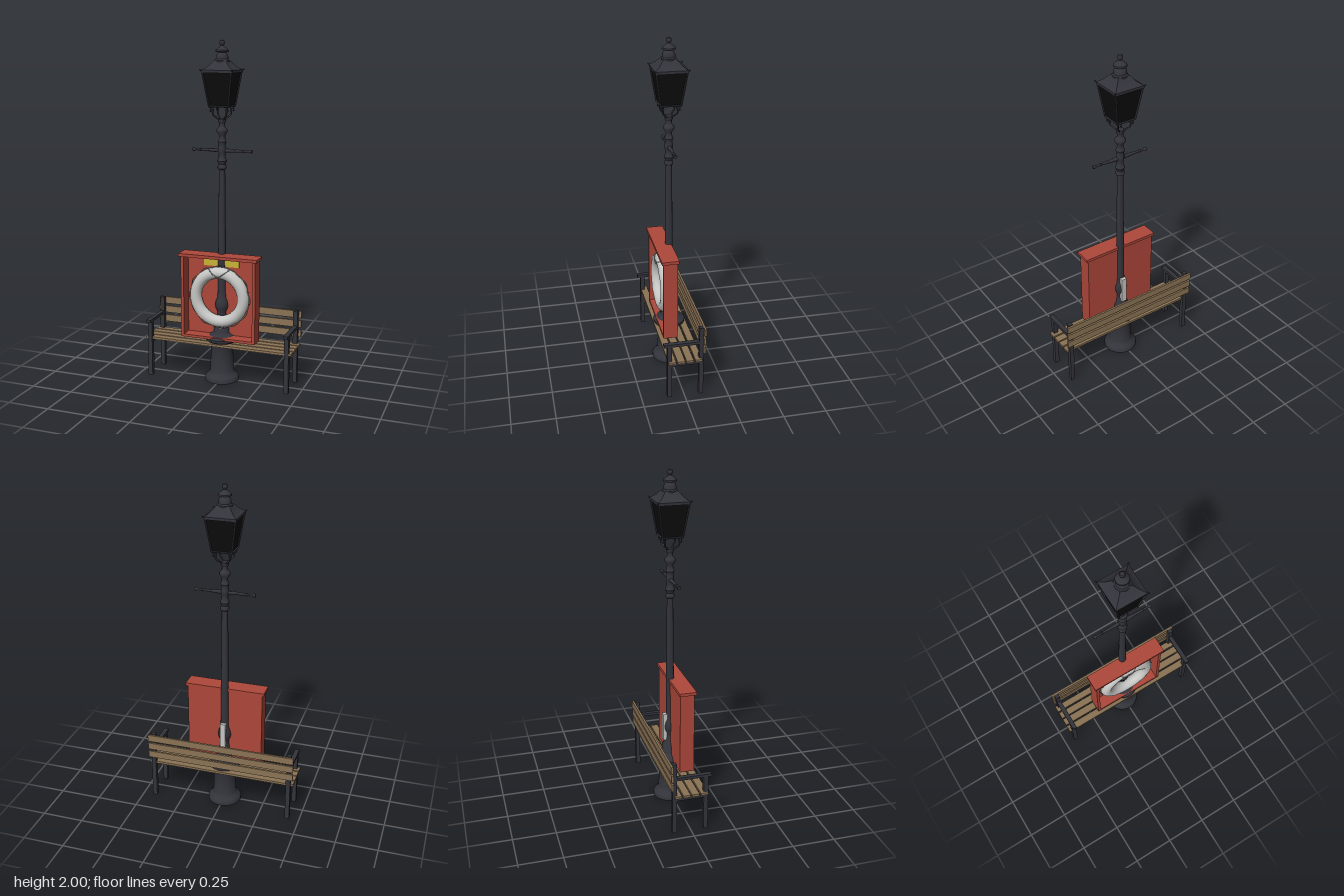
import * as THREE from 'three';
import { toCreasedNormals } from 'three/addons/utils/BufferGeometryUtils.js';

const material = (name, color) => {
  const m = new THREE.MeshStandardMaterial({ color });
  m.name = name;
  return m;
};

export function createModel() {
  const iron = material('charcoal iron', 0x33333b);
  const glass = material('dark glass', 0x0c0c0d);
  const red = material('red paint', 0xad473a);
  const wood = material('bench wood', 0x8b7355);
  const white = material('ring white', 0xc6c6c4);
  const rope = material('rope grey', 0x9c9c9a);
  const yellow = material('sign yellow', 0xc9b336);

  const model = new THREE.Group();
  model.name = 'lampPostWithBench';
  const group = (name) => {
    const g = new THREE.Group();
    g.name = name;
    model.add(g);
    return g;
  };
  const add = (parent, name, geometry, mat, x = 0, y = 0, z = 0) => {
    const mesh = new THREE.Mesh(geometry, mat);
    mesh.name = name;
    mesh.position.set(x, y, z);
    parent.add(mesh);
    return mesh;
  };
  // Box given by its limits on each axis
  const box = (parent, name, mat, [x0, x1], [y0, y1], [z0, z1]) =>
    add(parent, name, new THREE.BoxGeometry(x1 - x0, y1 - y0, z1 - z0), mat,
      (x0 + x1) / 2, (y0 + y1) / 2, (z0 + z1) / 2);
  // Turned part from [radius, height] pairs
  const turned = (pairs, sides = 24) => toCreasedNormals(
    new THREE.LatheGeometry(pairs.map(([r, y]) => new THREE.Vector2(r, y)), sides), 0.7);
  // Square part from [half width, height] pairs
  const square = (pairs) => toCreasedNormals(
    new THREE.LatheGeometry(pairs.map(([w, y]) => new THREE.Vector2(w * Math.SQRT2, y)), 4, Math.PI / 4), 0.4);
  // Round bar between two points
  const bar = (parent, name, mat, a, b, r) => {
    const dir = b.clone().sub(a);
    const mesh = add(parent, name, new THREE.CylinderGeometry(r, r, dir.length(), 8), mat);
    mesh.position.copy(a).add(b).multiplyScalar(0.5);
    mesh.quaternion.setFromUnitVectors(new THREE.Vector3(0, 1, 0), dir.normalize());
  };

  // Post
  const post = group('post');
  add(post, 'pedestal', turned([[0, 0], [0.101, 0], [0.101, 0.02], [0.094, 0.03], [0.078, 0.045],
    [0.071, 0.06], [0.065, 0.2], [0.07, 0.215], [0.07, 0.23], [0.094, 0.25], [0.096, 0.265],
    [0.08, 0.278], [0.055, 0.29], [0.048, 0.3], [0.046, 0.345], [0.034, 0.36], [0.028, 0.4]], 32), iron);
  add(post, 'shaft', turned([[0.028, 0.4], [0.029, 0.425], [0.038, 0.445], [0.041, 0.465], [0.036, 0.49],
    [0.027, 0.51], [0.025, 0.55], [0.018, 1.27], [0.025, 1.275], [0.025, 1.29], [0.02, 1.3],
    [0.028, 1.32], [0.02, 1.34], [0.019, 1.36], [0.023, 1.37], [0.023, 1.395], [0.019, 1.41],
    [0.026, 1.43], [0.019, 1.445], [0.018, 1.465], [0.032, 1.488], [0.031, 1.5], [0.018, 1.515],
    [0.017, 1.535], [0.023, 1.543], [0.023, 1.56], [0, 1.56]]), iron);

  // Ladder bar with knobbed ends
  const ladder = add(post, 'ladderBar', turned([[0, -0.182], [0.009, -0.18], [0.011, -0.171], [0.006, -0.16],
    [0.006, -0.135], [0.01, -0.13], [0.006, -0.123], [0.011, -0.04], [0.012, 0], [0.011, 0.04],
    [0.006, 0.123], [0.01, 0.13], [0.006, 0.135], [0.006, 0.16], [0.011, 0.171], [0.009, 0.18],
    [0, 0.182]], 12), iron, 0, 1.38, 0);
  ladder.rotation.z = Math.PI / 2;

  // Lantern
  const lantern = group('lantern');
  add(lantern, 'panes', square([[0, 1.632], [0.056, 1.632], [0.084, 1.825]]), glass);
  add(lantern, 'roof', square([[0.084, 1.818], [0.091, 1.818], [0.092, 1.834], [0.078, 1.842],
    [0.06, 1.856], [0.046, 1.874], [0.036, 1.885], [0, 1.885]]), iron);
  add(lantern, 'finial', turned([[0.036, 1.872], [0.043, 1.876], [0.043, 1.886], [0.036, 1.893],
    [0.035, 1.91], [0.027, 1.926], [0.022, 1.93], [0.038, 1.934], [0.037, 1.943], [0.024, 1.955],
    [0.012, 1.962], [0.007, 1.967], [0.014, 1.975], [0.016, 1.984], [0.012, 1.995], [0, 2]]), iron);
  const low = 0.058, high = 0.087;
  for (let i = 0; i < 4; i++) {
    const side = new THREE.Group();
    side.name = 'lanternCorner';
    side.rotation.y = i * Math.PI / 2;
    lantern.add(side);
    bar(side, 'cornerBar', iron, new THREE.Vector3(low, 1.63, low), new THREE.Vector3(high, 1.825, high), 0.005);
    bar(side, 'bottomRail', iron, new THREE.Vector3(-low, 1.632, low), new THREE.Vector3(low, 1.632, low), 0.005);
    bar(side, 'cornerEar', iron, new THREE.Vector3(0.086, 1.826, 0.086), new THREE.Vector3(0.097, 1.838, 0.097), 0.004);
    // Scrolled support arm, drawn in its own plane and turned to the corner
    const path = new THREE.CatmullRomCurve3([[0.015, 1.553], [0.035, 1.568], [0.056, 1.585], [0.058, 1.6],
      [0.054, 1.613], [0.06, 1.622], [0.07, 1.617], [0.072, 1.606], [0.064, 1.602]]
      .map(([r, y]) => new THREE.Vector3(r * Math.SQRT1_2, y, r * Math.SQRT1_2)));
    add(side, 'scrollArm', new THREE.TubeGeometry(path, 28, 0.005, 6), iron);
    bar(side, 'armTip', iron, new THREE.Vector3(0.042, 1.617, 0.042), new THREE.Vector3(low, 1.632, low), 0.004);
  }

  // Open-fronted cabinet
  const cabinet = group('cabinet');
  box(cabinet, 'backPanel', red, [-0.23, 0.23], [0.265, 0.76], [-0.005, 0.006]);
  box(cabinet, 'floor', red, [-0.23, 0.23], [0.265, 0.28], [-0.005, 0.08]);
  box(cabinet, 'lid', red, [-0.242, 0.242], [0.756, 0.774], [-0.012, 0.09]);
  for (const s of [-1, 1]) {
    add(cabinet, 'sideWall', new THREE.BoxGeometry(0.018, 0.495, 0.085), red, s * 0.221, 0.5125, 0.0375);
  }
  box(cabinet, 'signPlate', yellow, [-0.11, 0.11], [0.697, 0.745], [0.004, 0.011]);
  box(cabinet, 'rearBracket', white, [-0.016, 0.016], [0.375, 0.545], [-0.045, -0.005]);

  // Life ring with grab rope
  const ring = group('lifeRing');
  ring.position.set(0, 0.52, 0.045);
  add(ring, 'ringBody', new THREE.TorusGeometry(0.147, 0.035, 16, 56), white);
  for (let i = 0; i < 4; i++) {
    const band = add(ring, 'ringBand', new THREE.TorusGeometry(0.147, 0.0365, 16, 6, 0.2), white);
    band.rotation.z = Math.PI / 4 + i * Math.PI / 2 - 0.1;
  }
  const loop = [];
  for (let i = 0; i < 48; i++) {
    const a = i * Math.PI / 24;
    const r = 0.186 + 0.004 * Math.cos(a * 12);
    loop.push(new THREE.Vector3(r * Math.cos(a), r * Math.sin(a), 0.006 * Math.sin(a * 8)));
  }
  add(ring, 'grabRope', new THREE.TubeGeometry(new THREE.CatmullRomCurve3(loop, true), 96, 0.003, 5, true), rope);
  const hanger = new THREE.CatmullRomCurve3([[-0.065, 0.172, 0.012], [-0.035, 0.15, 0.036], [0, 0.128, 0.034],
    [0.035, 0.15, 0.036], [0.065, 0.172, 0.012]].map((p) => new THREE.Vector3(...p)));
  add(ring, 'hangerRope', new THREE.TubeGeometry(hanger, 24, 0.003, 5), rope);

  // Bench
  const bench = group('bench');
  for (const [z0, z1] of [[-0.1, -0.06], [-0.05, -0.008], [0, 0.044], [0.053, 0.096]]) {
    box(bench, 'seatSlat', wood, [-0.455, 0.455], [0.229, 0.243], [z0, z1]);
  }
  [[0.28, 0.322, -0.113], [0.337, 0.379, -0.115], [0.394, 0.436, -0.118]].forEach(([y0, y1, z]) =>
    box(bench, 'backSlat', wood, [-0.455, 0.455], [y0, y1], [z - 0.006, z + 0.006]));
  for (const s of [-1, 1]) {
    const frame = new THREE.Group();
    frame.name = s > 0 ? 'leftFrame' : 'rightFrame';
    frame.position.x = s * 0.426;
    bench.add(frame);
    const w = [-0.0135, 0.0135];
    box(frame, 'frontLeg', iron, w, [0, 0.338], [0.074, 0.1]);
    box(frame, 'backLeg', iron, w, [0, 0.44], [-0.111, -0.085]);
    box(frame, 'armrest', iron, w, [0.336, 0.353], [-0.1, 0.12]);
    box(frame, 'seatRail', iron, w, [0.207, 0.23], [-0.1, 0.09]);
  }
  return model;
}
